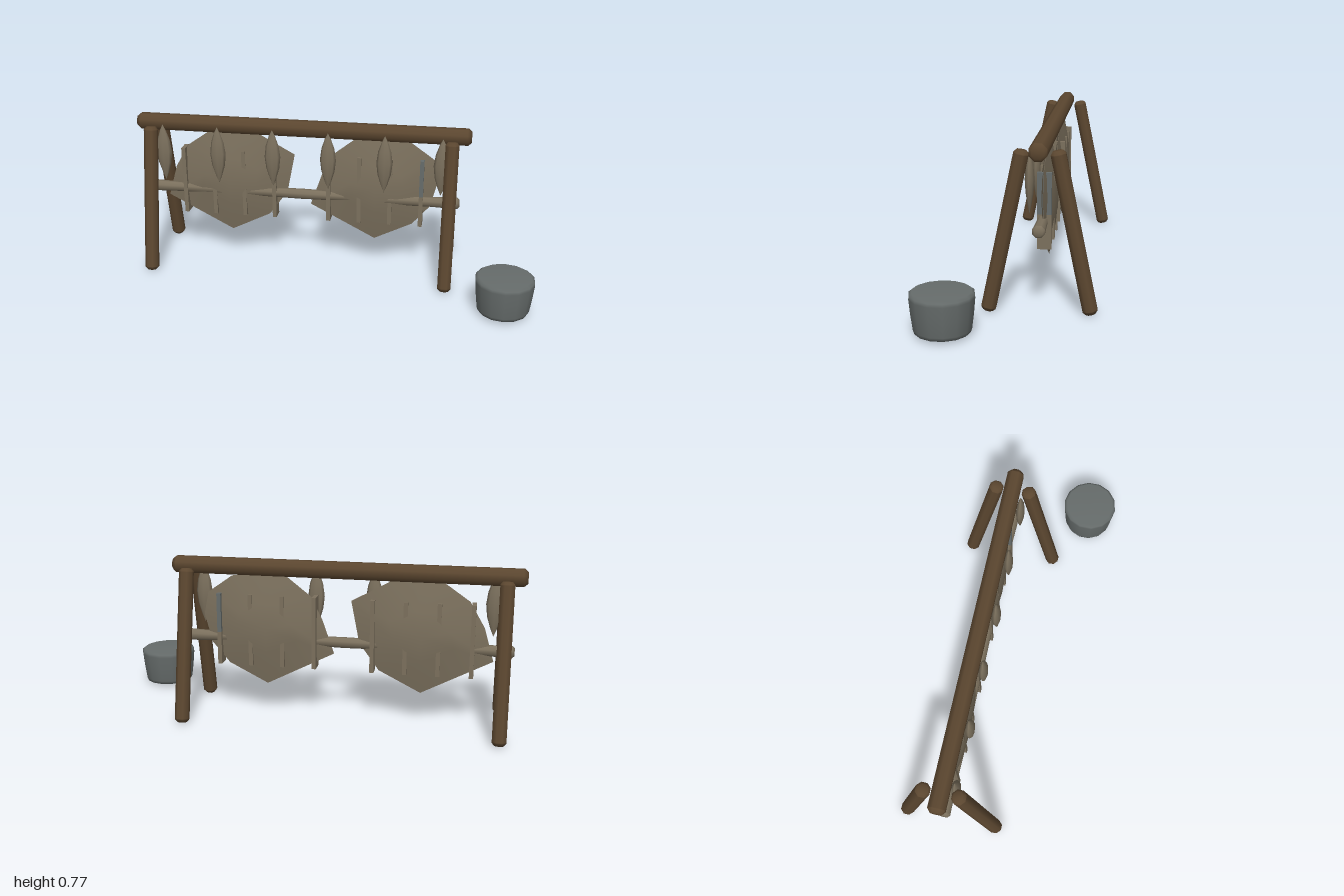
import * as THREE from 'three';

const mat = (name, color) => {
  const m = new THREE.MeshStandardMaterial({ color });
  m.name = name;
  return m;
};

export function createModel() {
  const root = new THREE.Group();
  root.name = 'dryingRack';
  const wood = mat('dark wood', 0x5c4730);
  const hide = mat('dried hide', 0x7b705d);
  const iron = mat('grey metal', 0x666c6b);
  const MID = -0.125;

  const add = (name, geo, material, parent = root) => {
    const m = new THREE.Mesh(geo, material);
    m.name = name;
    parent.add(m);
    return m;
  };
  const lathe = (pts, sides) =>
    new THREE.LatheGeometry(pts.map(([r, y]) => new THREE.Vector2(r, y)), sides);

  // Eight-sided pole with chamfered ends, between two points
  const pole = (name, a, b, r, material, knots = []) => {
    const len = a.distanceTo(b), c = r * 0.4;
    const pts = [[0, 0], [r * 0.66, 0], [r, c], [r, c + 0.004],
      ...knots.map(([t, k]) => [r * k, t * len]),
      [r, len - c - 0.004], [r, len - c], [r * 0.66, len], [0, len]];
    const geo = lathe(pts, 8).rotateY(Math.PI / 8);
    const m = add(name, geo, material);
    m.position.copy(a);
    m.quaternion.setFromUnitVectors(new THREE.Vector3(0, 1, 0), b.clone().sub(a).normalize());
  };
  const v = (x, y, z) => new THREE.Vector3(x, y, z);

  // Frame
  pole('topBeam', v(-1, 0.73, MID), v(0.67, 0.73, MID), 0.042, wood);
  for (const x of [-0.91, 0.58])
    for (const s of [1, -1])
      pole(s > 0 ? 'frontLeg' : 'backLeg',
        v(x, 0.006, MID + s * 0.226), v(x, 0.726, MID + s * 0.076), 0.035, wood);
  pole('crossBar', v(-0.96, 0.38, MID), v(0.63, 0.38, MID), 0.029, hide,
    [[0.1, 0.85], [0.25, 0.95], [0.38, 0.82], [0.5, 0.9], [0.63, 0.8], [0.78, 0.95], [0.9, 0.85]]);

  // Lens-shaped hide: thin outline, thicker towards the middle
  const hideGeometry = (outline) => {
    const n = outline.length, cy = 0.44, pos = [], idx = [];
    for (const s of [1, -1]) {
      const base = pos.length / 3;
      pos.push(0, cy, s * 0.039);
      for (const [k, t] of [[0.45, 0.031], [1, 0.001]])
        for (const [x, y] of outline) pos.push(x * k, cy + (y - cy) * k, s * t);
      const tri = (a, b, c) => idx.push(base + a, base + (s > 0 ? b : c), base + (s > 0 ? c : b));
      for (let i = 0; i < n; i++) {
        const j = (i + 1) % n;
        tri(0, 1 + i, 1 + j);
        tri(1 + i, 1 + n + i, 1 + n + j);
        tri(1 + i, 1 + n + j, 1 + j);
      }
    }
    const g = new THREE.BufferGeometry();
    g.setAttribute('position', new THREE.Float32BufferAttribute(pos, 3));
    g.setIndex(idx);
    g.computeVertexNormals();
    return g;
  };
  const hides = [
    { x: -0.535, outline: [[0, 0.155], [0.2, 0.255], [0.295, 0.385], [0.335, 0.588], [0.15, 0.69],
      [0.03, 0.71], [-0.1, 0.69], [-0.215, 0.61], [-0.285, 0.49], [-0.332, 0.33]] },
    { x: 0.208, outline: [[0, 0.155], [0.19, 0.25], [0.275, 0.35], [0.312, 0.49], [0.29, 0.6],
      [0.17, 0.685], [0.03, 0.71], [-0.1, 0.69], [-0.215, 0.6], [-0.27, 0.49], [-0.328, 0.325]] },
  ];
  for (const { x, outline } of hides) {
    add('hide', hideGeometry(outline), hide).position.set(x, 0, -0.133);
    // Upright slats through each hide
    for (let i = 0; i < 4; i++) {
      const sx = x - 0.234 + i * 0.155;
      const top = x > 0 && i === 3 ? iron : hide;
      add('slatTop', new THREE.BoxGeometry(0.02, 0.19, 0.065), top).position.set(sx, 0.505, -0.1325);
      add('slatBottom', new THREE.BoxGeometry(0.02, 0.16, 0.065), hide).position.set(sx, 0.33, -0.1325);
    }
  }

  // Row of hanging dried strips
  const strip = lathe([[0, 0.435], [0.016, 0.475], [0.033, 0.53], [0.04, 0.59],
    [0.032, 0.65], [0.015, 0.7], [0, 0.73]], 8).scale(1, 1, 0.53);
  for (let i = 0; i < 6; i++)
    add('hangingStrip', strip, hide).position.set(-0.86 + i * 0.279, 0, -0.077);

  // Bucket
  const bucket = lathe([[0, 0.007], [0.095, 0.008], [0.118, 0.014], [0.124, 0.03], [0.133, 0.1],
    [0.139, 0.165], [0.138, 0.18], [0.125, 0.189], [0, 0.19]], 14);
  add('bucket', bucket, iron).position.set(0.861, 0, 0.246);

  return root;
}
